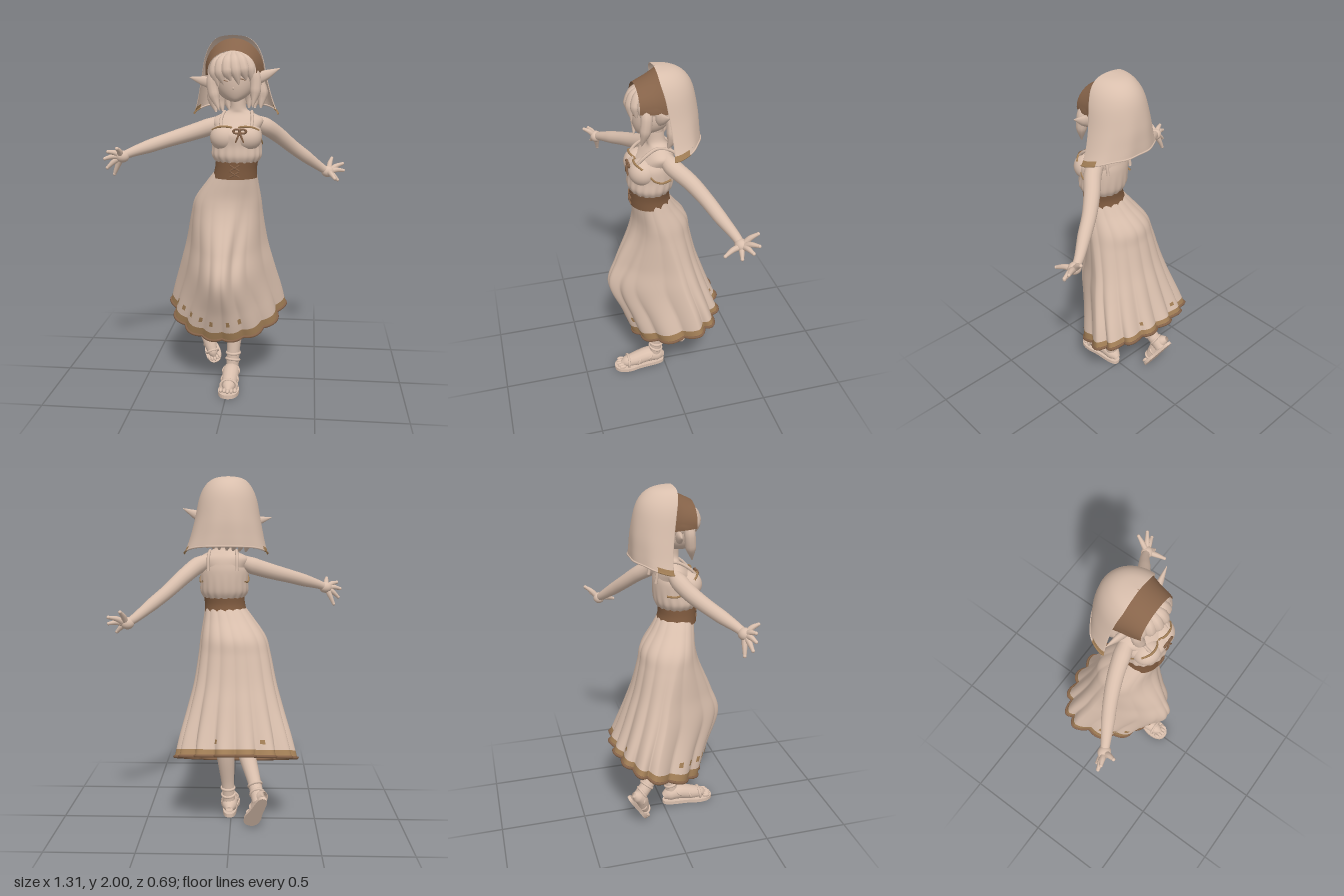
import * as THREE from 'three';
import { mergeVertices } from 'three/addons/utils/BufferGeometryUtils.js';

const V = (p) => new THREE.Vector3(...p);
const mat = (name, color) => {
  const m = new THREE.MeshStandardMaterial({ color, side: THREE.DoubleSide });
  m.name = name;
  return m;
};

// Catmull-Rom between rows of numbers
function sampleRows(rows, t) {
  const n = rows.length - 1, i = Math.min(Math.floor(t), n - 1), f = t - i;
  const [a, b, c, d] = [i - 1, i, i + 1, i + 2].map((k) => rows[Math.min(n, Math.max(0, k))]);
  return b.map((_, k) => b[k] + 0.5 * f * (c[k] - a[k] + f * (2 * a[k] - 5 * b[k] + 4 * c[k] - d[k]
    + f * (3 * (b[k] - c[k]) + d[k] - a[k]))));
}

// Skin of horizontal rings, top to bottom. Row: y, xMin, xMax, zFront, zWidest, zBack
function loft(rows, { from = 0, to = rows.length - 1, steps = 24, cols = 48, arc = [0, Math.PI * 2], warp } = {}) {
  const closed = arc[1] - arc[0] > 6.28, w = closed ? cols : cols + 1, pos = [], idx = [];
  for (let i = 0; i <= steps; i++) {
    const [y, x0, x1, zf, zc, zb] = sampleRows(rows, from + (to - from) * i / steps);
    for (let j = 0; j < w; j++) {
      const a = arc[0] + (arc[1] - arc[0]) * j / cols, s = Math.sin(a), c = Math.cos(a);
      const p = new THREE.Vector3(s * (x1 - x0) / 2, y, c * (c > 0 ? zf - zc : zc - zb));
      if (warp) warp(p, a, y, zc);
      pos.push(p.x + (x0 + x1) / 2, p.y, p.z + zc);
    }
  }
  for (let i = 0; i < steps; i++) for (let j = 0; j < cols; j++) {
    const a = i * w + j, d = i * w + (j + 1) % w;
    idx.push(a, a + w, d + w, a, d + w, d);
  }
  const g = new THREE.BufferGeometry();
  g.setAttribute('position', new THREE.Float32BufferAttribute(pos, 3));
  g.setIndex(idx);
  g.computeVertexNormals();
  g.userData.lastRing = Array.from({ length: w }, (_, j) => V(pos.slice((steps * w + j) * 3, (steps * w + j) * 3 + 3)));
  return g;
}

// Round limb whose radius changes along a smooth path
function limb(points, radii, segs = 24, sides = 12) {
  const pts = points.map(V), curve = new THREE.CatmullRomCurve3(pts);
  const cum = [0];
  for (let i = 1; i < pts.length; i++) cum.push(cum[i - 1] + pts[i].distanceTo(pts[i - 1]));
  let g = new THREE.TubeGeometry(curve, segs, 1, sides);
  const pos = g.attributes.position, v = new THREE.Vector3();
  for (let i = 0; i <= segs; i++) {
    const c = curve.getPointAt(i / segs), d = cum[cum.length - 1] * i / segs;
    let k = 0;
    while (k < cum.length - 2 && d > cum[k + 1]) k++;
    const r = THREE.MathUtils.lerp(radii[k], radii[k + 1], Math.min(1, (d - cum[k]) / (cum[k + 1] - cum[k])));
    for (let j = 0; j <= sides; j++) {
      const n = i * (sides + 1) + j;
      v.fromBufferAttribute(pos, n).sub(c).multiplyScalar(r).add(c);
      pos.setXYZ(n, v.x, v.y, v.z);
    }
  }
  g.deleteAttribute('uv');
  g.deleteAttribute('normal');
  g = mergeVertices(g, 1e-5);
  g.computeVertexNormals();
  return g;
}

export function createModel() {
  const model = new THREE.Group();
  const cloth = mat('beige', 0xd9bfad), brown = mat('brown', 0x87644a), belt = mat('beltBrown', 0x7d593e), tan = mat('tan', 0xa48057);
  const add = (name, geo, m = cloth, parent = model) => {
    const mesh = new THREE.Mesh(geo, m);
    mesh.name = name;
    parent.add(mesh);
    return mesh;
  };
  const ball = (name, p, s, m = cloth, parent = model) => {
    const b = add(name, new THREE.SphereGeometry(1, 28, 20), m, parent);
    b.position.set(...p);
    b.scale.set(...s);
    return b;
  };

  // Pleated skirt, pushed forward by the bent knee, hem lower at the front
  const skirt = [
    [1.27, -0.075, 0.15, 0.185, 0.09, -0.015], [1.2, -0.13, 0.16, 0.18, 0.07, -0.06],
    [1.1, -0.2, 0.175, 0.178, 0.04, -0.13], [1.0, -0.228, 0.185, 0.205, 0.01, -0.15],
    [0.84, -0.26, 0.208, 0.28, -0.03, -0.185], [0.7, -0.295, 0.24, 0.33, -0.06, -0.225],
    [0.52, -0.34, 0.28, 0.255, -0.11, -0.275], [0.374, -0.368, 0.303, 0.2, -0.14, -0.315]];
  const pleat = (p, a, y, zc) => {
    const w = Math.max(0, (1.27 - y) / 0.9), front = Math.max(0, Math.cos(a));
    const back = 0.3 + 0.35 * (1 - Math.cos(a));
    const k = 1 + (0.014 + 0.08 * w * w) * back * (2 * Math.abs(Math.sin(7 * a + 0.5 * Math.sin(2 * a))) - 1.27);
    const pinch = 0.42 * Math.exp(-(((y - 0.72) / 0.25) ** 2));
    // hollow between the two thighs
    const hollow = 0.09 * Math.exp(-(((y - 0.88) / 0.25) ** 2) - ((a - 0.5 - 0.5 * (y - 0.85)) / 0.2) ** 2);
    p.x *= k * (1 - pinch * front) * (1 - hollow);
    p.z *= k * (1 - hollow);
    p.y -= 0.37 * w * w * (p.z + zc);
  };
  add('skirt', loft(skirt, { to: 6.58, steps: 56, cols: 196, warp: pleat }));
  const hem = loft(skirt, { from: 6.58, steps: 5, cols: 196, warp: pleat });
  add('skirtTrim', hem, tan);
  add('skirtHem', new THREE.TubeGeometry(new THREE.CatmullRomCurve3(hem.userData.lastRing, true), 240, 0.009, 6, true), brown);
  // Small worn marks above the hem
  const proud = (p, a, y, zc) => {
    pleat(p, a, y, zc);
    p.x *= 1.01;
    p.z *= 1.01;
  };
  for (const a of [-1.2, -0.98, -0.75, -0.5, -0.25, 0.1, 0.35, 2.75, 3.6])
    add('skirtMark', loft(skirt, { from: 6.16, to: 6.33, steps: 3, cols: 4, arc: [a, a + 0.07], warp: proud }), tan);

  // Belt with crossed lacing
  add('belt', loft([[1.325, -0.075, 0.16, 0.198, 0.09, -0.02], [1.28, -0.08, 0.153, 0.197, 0.09, -0.018],
    [1.23, -0.093, 0.155, 0.198, 0.085, -0.033]], { steps: 8 }), belt);
  for (const s of [-1, 1]) for (const y of [1.26, 1.295])
    add('beltLace', limb([[0.04 - s * 0.025, y - 0.015, 0.199], [0.04, y, 0.204], [0.04 + s * 0.025, y + 0.015, 0.199]], [0.004, 0.004, 0.004], 6, 6), brown);

  // Gathered bodice, bust, chest and neck
  const gather = (p, a, y) => {
    const k = 1 + 0.025 * Math.min(1, Math.max(0, (1.46 - y) / 0.13)) * Math.sin(18 * a);
    p.x *= k;
    p.z *= k;
  };
  add('bodice', loft([[1.515, -0.08, 0.16, 0.175, 0.07, -0.043], [1.475, -0.097, 0.177, 0.211, 0.08, -0.048],
    [1.41, -0.096, 0.178, 0.208, 0.08, -0.046], [1.355, -0.096, 0.178, 0.21, 0.09, -0.038],
    [1.32, -0.075, 0.16, 0.195, 0.09, -0.02]], { cols: 96, warp: gather }));
  add('chest', loft([[1.66, 0.0, 0.085, 0.1, 0.055, 0.01], [1.605, -0.002, 0.092, 0.1, 0.05, 0.003],
    [1.58, -0.04, 0.132, 0.102, 0.045, -0.012], [1.545, -0.1, 0.183, 0.13, 0.045, -0.033],
    [1.49, -0.085, 0.165, 0.175, 0.06, -0.042], [1.44, -0.08, 0.16, 0.18, 0.07, -0.035]]));
  for (const x of [-0.02, 0.1]) {
    ball('bust', [x, 1.455, 0.138], [0.081, 0.075, 0.077]);
    const edge = [-1, -0.4, 0.4, 1].map((u) => [x + u * 0.066, 1.519 - 0.022 * u * u, 0.188 - 0.035 * u * u]);
    add('necklineTrim', limb(edge, [0.006, 0.006, 0.006, 0.006], 12, 6), tan);
  }
  for (const [s, x] of [[-1, -0.035], [1, 0.125]]) {
    add('strap', limb([[x, 1.5, 0.185], [x + s * 0.005, 1.55, 0.138], [x - s * 0.005, 1.588, 0.06], [x, 1.555, -0.03], [x, 1.48, -0.05]],
      [0.009, 0.009, 0.009, 0.009, 0.009], 24, 6));
    const cx = 0.04 + s * 0.1;
    add('armholeTrim', limb([[cx + s * 0.018, 1.485, 0.13], [cx + s * 0.037, 1.435, 0.1], [cx + s * 0.037, 1.412, 0.055], [cx + s * 0.022, 1.415, 0.0]],
      [0.006, 0.006, 0.006, 0.006], 20, 6), tan);
  }
  // Front bow
  for (const s of [-1, 1]) {
    const loop = add('bowLoop', new THREE.TorusGeometry(0.014, 0.006, 6, 16), brown);
    loop.position.set(0.068 + s * 0.017, 1.495, 0.211);
    loop.scale.set(1.2, 0.8, 1);
    add('bowTail', limb([[0.068, 1.49, 0.215], [0.068 + s * 0.012, 1.46, 0.219], [0.068 + s * 0.022, 1.435, 0.216]], [0.006, 0.006, 0.004], 8, 6), brown);
  }

  // Arms and spread hands
  const arms = [
    { name: 'rightArm', path: [[-0.04, 1.535, 0.04], [-0.12, 1.502, 0.06], [-0.23, 1.467, 0.095], [-0.34, 1.435, 0.145], [-0.43, 1.407, 0.195], [-0.525, 1.376, 0.25]],
      palm: [-0.56, 1.36, 0.268], tips: [[-0.63, 1.388, 0.3], [-0.65, 1.35, 0.295], [-0.64, 1.3, 0.285], [-0.61, 1.262, 0.255]], thumb: [-0.572, 1.41, 0.335] },
    { name: 'leftArm', path: [[0.11, 1.54, 0.03], [0.185, 1.507, 0.0], [0.262, 1.447, -0.075], [0.34, 1.375, -0.14], [0.42, 1.31, -0.19], [0.515, 1.235, -0.25]],
      palm: [0.55, 1.212, -0.262], tips: [[0.575, 1.282, -0.34], [0.64, 1.252, -0.325], [0.645, 1.215, -0.295], [0.61, 1.165, -0.25]], thumb: [0.59, 1.185, -0.165] }];
  for (const { name, path, palm, tips, thumb } of arms) {
    add(name, limb([...path, palm], [0.035, 0.048, 0.044, 0.039, 0.036, 0.025, 0.022], 36, 16));
    ball('palm', palm, [0.037, 0.033, 0.033]);
    for (const tip of [...tips, thumb]) {
      const mid = V(palm).lerp(V(tip), 0.55).add(new THREE.Vector3(0, 0.006, 0)).toArray();
      add('finger', limb([path[5], palm, mid, tip], [0.017, 0.019, 0.015, 0.009], 16, 8));
      ball('fingertip', tip, [0.0095, 0.0095, 0.0095]);
    }
  }

  // Legs: left stands straight, right trails with the heel raised
  add('leftLeg', limb([[0.06, 0.95, 0.02], [0.05, 0.68, 0.015], [0.035, 0.42, 0.015], [0.02, 0.2, 0.05], [0.012, 0.05, 0.06]], [0.07, 0.06, 0.056, 0.038, 0.036], 30, 16));
  add('rightLeg', limb([[-0.06, 0.95, 0.04], [-0.04, 0.66, 0.18], [-0.08, 0.45, 0.02], [-0.14, 0.27, -0.13], [-0.165, 0.18, -0.205]], [0.07, 0.055, 0.056, 0.038, 0.038], 30, 16));
  const ring = (name, p, r, axis, parent) => {
    const s = add(name, new THREE.TorusGeometry(r, 0.008, 8, 24), cloth, parent);
    s.position.set(...p);
    s.quaternion.setFromUnitVectors(new THREE.Vector3(0, 0, 1), V(axis).normalize());
    return s;
  };
  for (const [p, axis] of [[[0.016, 0.13, 0.055], [0.1, 1, -0.3]], [[0.019, 0.17, 0.052], [0, 1, -0.1]],
    [[-0.143, 0.26, -0.14], [0.3, 0.8, 0.7]], [[-0.155, 0.22, -0.172], [0.2, 0.5, 0.9]]]) ring('ankleStrap', p, 0.038, axis, model);

  // Strapped sandals, built heel to toe along +z
  const foot = (name) => {
    const f = new THREE.Group();
    f.name = name;
    const outline = new THREE.Shape();
    outline.moveTo(0, 0);
    outline.bezierCurveTo(0.05, 0, 0.035, 0.1, 0.05, 0.18);
    outline.bezierCurveTo(0.07, 0.24, 0.06, 0.32, 0, 0.32);
    outline.bezierCurveTo(-0.06, 0.32, -0.07, 0.24, -0.05, 0.18);
    outline.bezierCurveTo(-0.035, 0.1, -0.05, 0, 0, 0);
    const sole = new THREE.ExtrudeGeometry(outline, { depth: 0.022, bevelEnabled: false, curveSegments: 10 });
    add('sole', sole.rotateX(Math.PI / 2).translate(0, 0.022, 0), cloth, f);
    add('footBody', limb([[0, 0.048, 0.005], [0, 0.06, 0.04], [0, 0.07, 0.1], [0, 0.049, 0.19], [0, 0.039, 0.25], [0, 0.03, 0.285]], [0.02, 0.042, 0.047, 0.043, 0.033, 0.008], 24, 14), cloth, f).scale.x = 1.05;
    for (let i = 0; i < 5; i++)
      ball('toe', [(i - 2) * 0.02, 0.034, 0.29 - 0.007 * Math.abs(i - 2)], [0.011, 0.012, 0.022], cloth, f);
    for (const [y, z, tilt] of [[0.043, 0.235, 0.1], [0.052, 0.17, 0.35], [0.075, 0.1, 0.8]])
      ring('sandalStrap', [0, y, z], 0.046, [0, Math.sin(tilt), Math.cos(tilt)], f).scale.y = 0.78;
    model.add(f);
    return f;
  };
  foot('leftFoot').position.set(0.01, 0, 0);
  const rf = foot('rightFoot');
  const d = V([0.08, -0.19, 0.11]).normalize(), side = V([0, 0.45, 0.9]).cross(d).normalize();
  rf.quaternion.setFromRotationMatrix(new THREE.Matrix4().makeBasis(side, d.clone().cross(side), d));
  rf.position.set(-0.195, 0.222, -0.267);
  rf.scale.setScalar(0.8);

  // Head, slightly tilted
  const head = new THREE.Group();
  head.name = 'head';
  head.position.set(0.025, 1.77, 0.06);
  head.rotation.z = 0.1;
  model.add(head);
  add('face', loft([[0.13, -0.02, 0.02, 0.02, 0, -0.02], [0.1, -0.08, 0.08, 0.09, 0, -0.08], [0.03, -0.108, 0.108, 0.118, 0, -0.1],
    [-0.04, -0.106, 0.106, 0.118, 0, -0.09], [-0.09, -0.078, 0.078, 0.106, 0.015, -0.06], [-0.118, -0.032, 0.032, 0.088, 0.04, 0],
    [-0.126, -0.002, 0.002, 0.055, 0.053, 0.051]]), cloth, head);
  ball('nose', [0, -0.05, 0.112], [0.006, 0.007, 0.009], cloth, head);
  ball('hairCap', [0, 0.04, -0.005], [0.122, 0.108, 0.122], cloth, head);
  for (const s of [-1, 1]) {
    add('lash', limb([[s * 0.026, -0.012, 0.118], [s * 0.045, -0.005, 0.114], [s * 0.066, -0.015, 0.1]], [0.002, 0.003, 0.002], 8, 6), brown, head);
    // Long pointed ear
    const ear = add('ear', limb([[s * 0.085, -0.02, 0.0], [s * 0.13, -0.012, 0.0], [s * 0.18, 0.003, -0.015], [s * 0.25, 0.028, -0.035]], [0.02, 0.034, 0.025, 0.002], 16, 12), cloth, head);
    ear.scale.z = 0.6;
    // Locks beside the face and under the hood
    add('sideLock', limb([[s * 0.09, 0.08, 0.06], [s * 0.116, 0, 0.062], [s * 0.112, -0.08, 0.072], [s * 0.09, -0.16, 0.09]], [0.02, 0.032, 0.03, 0.003], 20, 10), cloth, head);
    for (let i = 0; i < 4; i++)
      add('backLock', limb([[s * (0.02 + i * 0.028), 0.02, -0.11 + i * 0.014], [s * (0.03 + i * 0.035), -0.1, -0.14 + i * 0.024], [s * (0.02 + i * 0.035), -0.175, -0.12 + i * 0.026]], [0.034, 0.037, 0.006], 14, 8), cloth, head);
  }
  // Fringe of tapered locks
  for (let i = 0; i < 6; i++) {
    const a = (i - 2.5) * 0.37, s = Math.sin(a), c = Math.cos(a), low = [-0.04, -0.03, -0.01, -0.035, -0.015, -0.04][i];
    add('fringeLock', limb([[s * 0.05, 0.125, 0.04 * c], [s * 0.1, 0.085, 0.1 * c], [s * 0.12, 0.035, 0.122 * c], [s * 0.115 + 0.012, low, 0.125 * c]],
      [0.02, 0.033, 0.032, 0.003], 18, 10), cloth, head);
  }

  // Head band, sloping down towards the brow
  const band = new THREE.CylinderGeometry(0.8, 1, 0.12, 40, 4, true, Math.PI * 0.47, Math.PI * 1.06);
  band.rotateX(Math.PI / 2).scale(0.162, 0.172, 1);
  const bp = band.attributes.position;
  for (let i = 0; i < bp.count; i++) {
    const up = Math.abs(bp.getY(i)), z = bp.getZ(i);
    bp.setY(i, bp.getY(i) - 0.32 * (z + 0.06) * up / 0.17);
    bp.setZ(i, z < 0 ? z - 0.025 * (1 - up / 0.172) : z);
  }
  band.computeVertexNormals();
  const bandMesh = add('headBand', band, brown);
  bandMesh.position.set(0.02, 1.81, 0.098);
  bandMesh.rotation.z = 0.05;

  // Draped hood, open at the front, with trim at its front corners
  const hood = [[2.0, 0.015, 0.017, 0.07, 0.05, 0.045], [1.988, -0.062, 0.092, 0.08, 0.05, -0.052], [1.95, -0.108, 0.143, 0.08, 0.045, -0.112],
    [1.88, -0.142, 0.177, 0.06, 0.03, -0.15], [1.76, -0.168, 0.204, 0.04, 0.01, -0.172], [1.66, -0.19, 0.235, 0.03, 0, -0.178], [1.6, -0.208, 0.262, 0.03, 0, -0.18]];
  const drape = (p, a, y) => {
    const t = Math.max(0, (1.85 - y) / 0.25);
    p.y += 0.02 * t * -Math.cos(a) - 0.025 * t * Math.abs(Math.sin(a)) ** 6;
    p.z *= 1 + 0.02 * t * Math.cos(9 * a);
  };
  const [A, B] = [Math.PI * 0.44, Math.PI * 0.64];
  add('hood', loft(hood, { to: 5.5, steps: 36, cols: 60, arc: [A, 2 * Math.PI - A], warp: drape }));
  const rim = { from: 5.5, steps: 4, cols: 20, warp: drape };
  for (const [name, arc, m] of [['hoodTrim', [A, B], tan], ['hoodRim', [B, 2 * Math.PI - B], cloth], ['hoodTrim', [2 * Math.PI - B, 2 * Math.PI - A], tan]]) {
    const g = loft(hood, { ...rim, arc });
    add(name, g, m);
    add('hoodHem', new THREE.TubeGeometry(new THREE.CatmullRomCurve3(g.userData.lastRing), 40, 0.005, 6), m);
  }
  return model;
}
